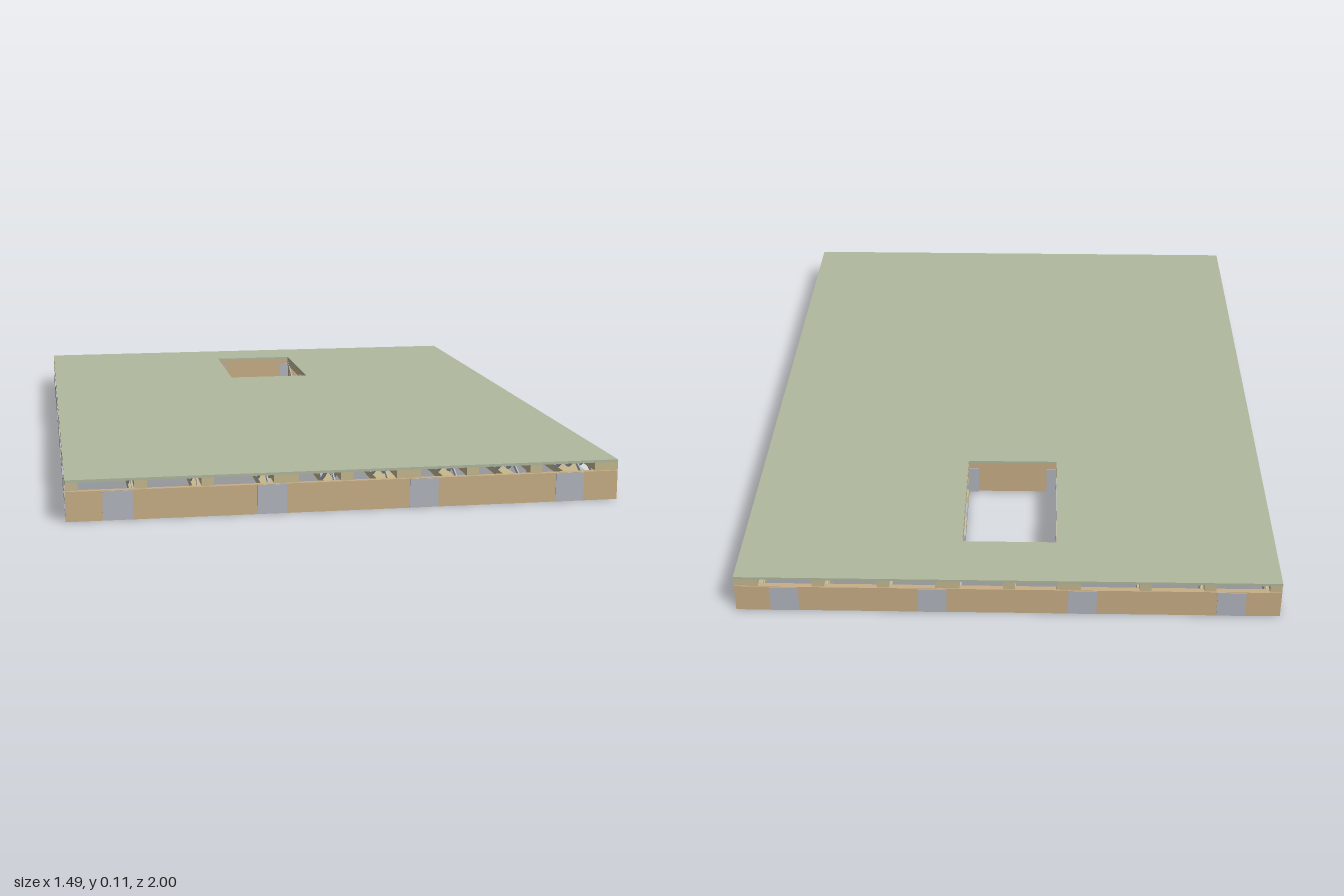
import * as THREE from 'three';

const material = (color) => new THREE.MeshStandardMaterial({ color });
const DECK = material(0xb0b99f);
const CHORD = material(0xc6b98f);
const BOARD = material(0xc8ae86);
const METAL = material(0xb2b6bd);

// Heights of the layers and the shared board sizes
const CHORD_W = 0.033, BOTTOM_TOP = 0.021, TOP_BOTTOM = 0.082, DECK_BOTTOM = 0.104, DECK_TOP = 0.111;
const HALF_X = 0.745, RIM = 0.016;
const HOLE = { x0: -0.135, x1: 0.13, z0: -0.825, z1: -0.42 };

// Box given by its limits
function block(parent, name, mat, x0, x1, y0, y1, z0, z1) {
  const mesh = new THREE.Mesh(new THREE.BoxGeometry(x1 - x0, y1 - y0, z1 - z0), mat);
  mesh.position.set((x0 + x1) / 2, (y0 + y1) / 2, (z0 + z1) / 2);
  mesh.name = name;
  parent.add(mesh);
  return mesh;
}

// Sloping metal strip in the plane of a truss side
function strip(parent, x, zBottom, zTop) {
  const y0 = 0.014, y1 = 0.089;
  const dz = zTop - zBottom, dy = y1 - y0;
  const mesh = new THREE.Mesh(new THREE.BoxGeometry(0.004, 0.011, Math.hypot(dz, dy)), METAL);
  mesh.position.set(x, (y0 + y1) / 2, (zBottom + zTop) / 2);
  mesh.rotation.x = -Math.atan2(dy, dz);
  mesh.name = 'webStrip';
  parent.add(mesh);
}

// Open-web truss: two chords and metal zigzags on both sides.
// nodes are z positions that alternate between the bottom and the top chord.
function truss(parent, x, z0, z1, bottom0, bottom1, nodes, firstAtTop) {
  const group = new THREE.Group();
  group.name = 'truss';
  const h = CHORD_W / 2;
  block(group, 'topChord', CHORD, x - h, x + h, TOP_BOTTOM, DECK_BOTTOM, z0, z1);
  block(group, 'bottomChord', CHORD, x - h, x + h, 0, BOTTOM_TOP, bottom0, bottom1);
  for (const side of [-1, 1]) {
    const sx = x + side * (h - 0.001);
    for (let i = 0; i < nodes.length - 1; i++) {
      const top = (i % 2 === 0) === firstAtTop;
      strip(group, sx, top ? nodes[i + 1] : nodes[i], top ? nodes[i] : nodes[i + 1]);
    }
  }
  parent.add(group);
}

export function createModel() {
  const model = new THREE.Group();
  model.name = 'floorPanel';

  // Deck sheet with the stair opening
  const sheet = new THREE.Shape();
  sheet.moveTo(-HALF_X, -1).lineTo(HALF_X, -1).lineTo(HALF_X, 1).lineTo(-HALF_X, 1).closePath();
  const hole = new THREE.Path();
  hole.moveTo(HOLE.x0, -HOLE.z0).lineTo(HOLE.x1, -HOLE.z0).lineTo(HOLE.x1, -HOLE.z1)
    .lineTo(HOLE.x0, -HOLE.z1).closePath();
  sheet.holes.push(hole);
  const deck = new THREE.Mesh(
    new THREE.ExtrudeGeometry(sheet, { depth: DECK_TOP - DECK_BOTTOM, bevelEnabled: false }), DECK);
  deck.rotation.x = -Math.PI / 2;
  deck.position.y = DECK_BOTTOM;
  deck.name = 'deck';
  model.add(deck);

  // Full-length trusses: single ones, and pairs beside the opening and at one edge
  const trussXs = [-0.728, -0.55, -0.375, -0.184, -0.151, 0.146, 0.179, 0.338, 0.515, 0.696, 0.729];
  const nodes = [-0.98];
  for (let i = -6; i <= 6; i++) nodes.push(i * 0.135);
  nodes.push(0.98);
  for (const x of trussXs) truss(model, x, -1, 1, -1 + RIM, 1 - RIM, nodes, false);

  // Middle truss, interrupted by the opening
  const shortNodes = [];
  for (let i = 0; i <= 10; i++) shortNodes.push(-0.38 + i * 0.136);
  truss(model, -0.005, HOLE.z1 + 0.03, 1, HOLE.z1 + 0.03, 1 - RIM, shortNodes, false);
  truss(model, -0.005, -1, HOLE.z0 - 0.03, -1 + RIM, HOLE.z0 - 0.03, [-0.975, -0.92, -0.865], false);

  // Rim boards with metal joint plates
  for (const s of [-1, 1]) {
    const za = s > 0 ? 1 - RIM : -1;
    block(model, 'rimBoard', BOARD, -HALF_X, HALF_X, 0, TOP_BOTTOM - 0.002, za, za + RIM);
    for (const x of [-0.61, -0.205, 0.205, 0.61]) {
      block(model, 'rimPlate', METAL, x - 0.039, x + 0.039, 0.001, 0.079, s - 0.002, s + 0.002);
    }
  }

  // Bridging board across the middle of the span
  block(model, 'bridgingBoard', BOARD, -HALF_X, HALF_X, BOTTOM_TOP, TOP_BOTTOM, -0.008, 0.008);

  // Headers at both ends of the opening, with their blocking and hangers
  const headers = [
    { z0: HOLE.z1, z1: HOLE.z1 + 0.03, block0: -0.435, block1: -0.358, out: 1 },
    { z0: HOLE.z0 - 0.03, z1: HOLE.z0, block0: -0.885, block1: -0.805, out: -1 },
  ];
  for (const h of headers) {
    block(model, 'header', BOARD, HOLE.x0, HOLE.x1, 0.002, DECK_BOTTOM, h.z0, h.z1);
    for (const x of [-0.1675, 0.1625]) {
      block(model, 'trimmerBlock', BOARD, x - 0.029, x + 0.029, BOTTOM_TOP, TOP_BOTTOM, h.block0, h.block1);
    }
    // Hanger seats and flanges: header ends and middle truss
    for (const [x, s] of [[-0.12, -1], [0.115, 1]]) {
      block(model, 'headerHangerSeat', METAL, x - 0.015, x + 0.015, 0, 0.003, h.z0 - 0.002, h.z1 + 0.002);
      for (const z of [h.z0 - 0.001, h.z1 + 0.001]) {
        block(model, 'headerHangerFlange', METAL, x - 0.015, x + 0.015, 0, 0.085, z - 0.0015, z + 0.0015);
      }
    }
    const zEdge = h.out > 0 ? h.z1 : h.z0;
    const za = Math.min(zEdge, zEdge + h.out * 0.045), zb = Math.max(zEdge, zEdge + h.out * 0.045);
    block(model, 'trussHangerSeat', METAL, -0.024, 0.014, 0, 0.003, za, zb);
    for (const x of [-0.0235, 0.0135]) {
      block(model, 'trussHangerFlange', METAL, x - 0.0015, x + 0.0015, 0, 0.085, za, zb);
    }
  }

  return model;
}
